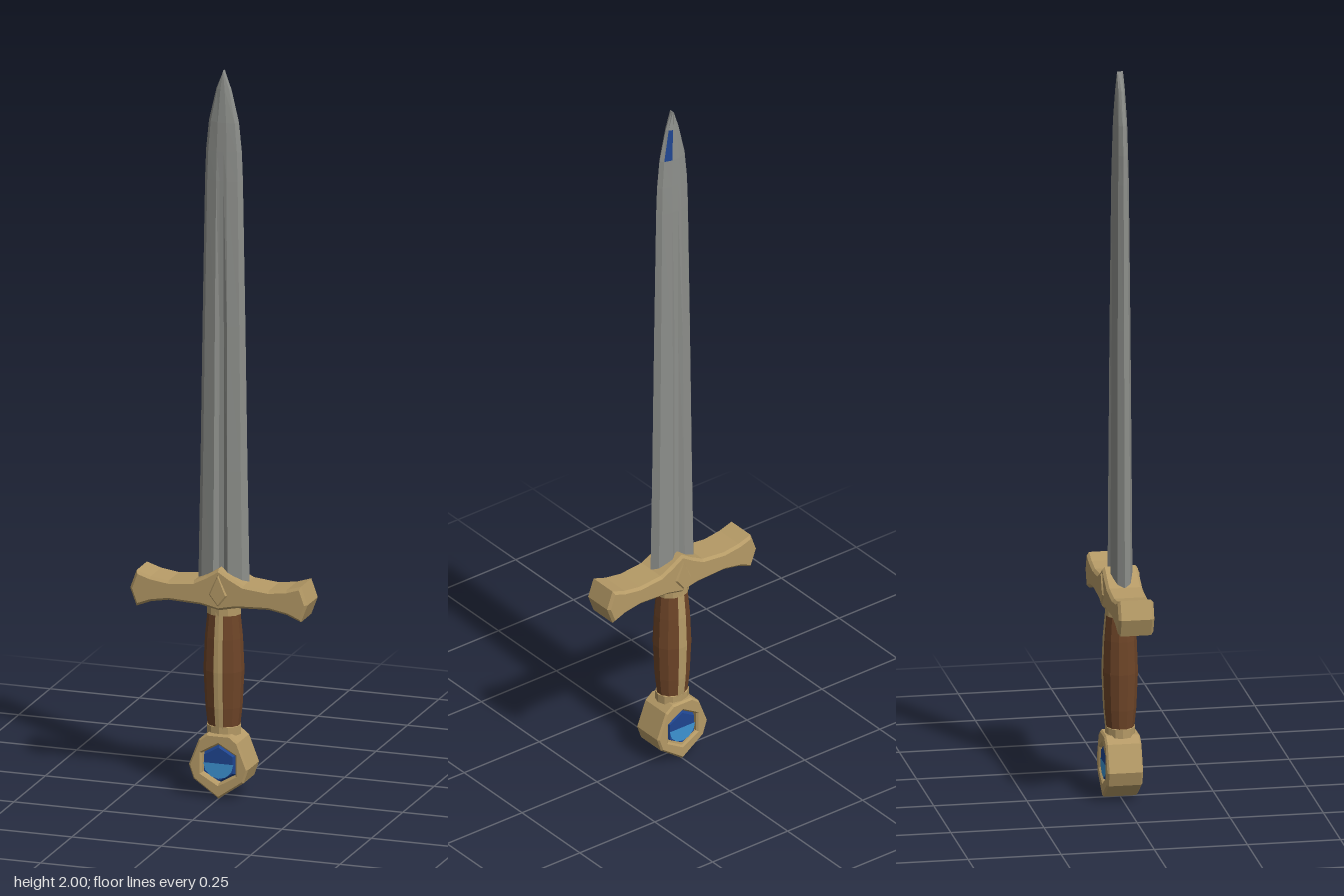
import * as THREE from 'three';

const mat = (name, color, extra = {}) => {
  const m = new THREE.MeshStandardMaterial({ color, flatShading: true, ...extra });
  m.name = name;
  return m;
};

// Closed outline from right-half points (bottom to top), mirrored across x = 0.
function mirrored(half) {
  const left = half.filter(p => p[0] > 0).reverse().map(([x, y]) => [-x, y]);
  return new THREE.Shape([...half, ...left].map(([x, y]) => new THREE.Vector2(x, y)));
}

// Bevelled slab centred on z = 0 with its outline kept at full size.
function slab(shape, halfDepth, bevel) {
  const geo = new THREE.ExtrudeGeometry(shape, {
    depth: 2 * (halfDepth - bevel), bevelThickness: bevel, bevelSize: bevel,
    bevelOffset: -bevel, bevelSegments: 1, curveSegments: 6,
  });
  return geo.translate(0, 0, bevel - halfDepth);
}

// Blade: fullered cross-section lofted through rings of [y, half width, half thickness, fuller depth].
function bladeGeometry() {
  const rings = [
    [0.57, 0.072, 0.030, 0.70], [0.9, 0.066, 0.028, 0.72], [1.3, 0.060, 0.025, 0.76],
    [1.7, 0.053, 0.021, 0.95], [1.78, 0.050, 0.019, 1], [1.86, 0.042, 0.017, 1],
    [1.95, 0.021, 0.012, 1], [2.0, 0.001, 0.008, 1],
  ];
  const loops = rings.map(([y, w, t, g]) => {
    const front = [[1, 0], [0.8, 0.6], [0.28, 1], [0.1, g], [-0.1, g], [-0.28, 1], [-0.8, 0.6]];
    const section = [...front, ...front.map(([x, z]) => [-x, -z])];
    return section.map(([x, z]) => [x * w, y, z * t]);
  });
  const steel = [], inlay = [];
  const n = loops[0].length;
  for (let i = 0; i < loops.length - 1; i++) {
    for (let j = 0; j < n; j++) {
      const k = (j + 1) % n;
      const [a, b, c, d] = [loops[i][j], loops[i][k], loops[i + 1][k], loops[i + 1][j]];
      // One blue facet on the back near the tip
      (i === 5 && j === 12 ? inlay : steel).push(...a, ...d, ...c, ...a, ...c, ...b);
    }
  }
  const top = loops[loops.length - 1];
  for (let j = 1; j < n - 1; j++) steel.push(...top[0], ...top[j + 1], ...top[j]);
  const geo = new THREE.BufferGeometry();
  geo.setAttribute('position', new THREE.Float32BufferAttribute([...steel, ...inlay], 3));
  geo.addGroup(0, steel.length / 3, 0);
  geo.addGroup(steel.length / 3, inlay.length / 3, 1);
  geo.computeVertexNormals();
  return geo;
}

export function createModel() {
  const steel = mat('steel', 0x8d8f8b);
  const gold = mat('gold', 0xb59a66);
  const leather = mat('brownLeather', 0x6e4528);
  const deepBlue = mat('deepBlue', 0x1f4590);
  const skyBlue = mat('skyBlue', 0x3c92d2);

  const model = new THREE.Group();
  model.name = 'sword';
  const add = (name, geo, material, parent = model) => {
    const mesh = new THREE.Mesh(geo, material);
    mesh.name = name;
    parent.add(mesh);
    return mesh;
  };

  add('blade', bladeGeometry(), [steel, deepBlue]);

  // Crossguard with flared ends and a central peak
  add('crossguard', slab(mirrored([
    [0, 0.522], [0.05, 0.533], [0.14, 0.537], [0.19, 0.528], [0.23, 0.512], [0.248, 0.56],
    [0.23, 0.61], [0.19, 0.597], [0.14, 0.59], [0.07, 0.597], [0.035, 0.615], [0, 0.637],
  ]), 0.048, 0.007), gold);
  add('guardCrest', slab(mirrored([
    [0, 0.53], [0.028, 0.565], [0, 0.625],
  ]), 0.052, 0.006), gold);

  // Grip with a swelling profile
  const profile = [[0.042, 0.18], [0.05, 0.25], [0.055, 0.35], [0.051, 0.44], [0.042, 0.53]];
  const lathe = (pts, grow, ...arc) =>
    new THREE.LatheGeometry(pts.map(([r, y]) => new THREE.Vector2(r + grow, y)), ...arc)
      .scale(1, 1, 0.86);
  add('grip', lathe(profile, 0, 12, Math.PI / 12), leather);
  for (const [side, start] of [['front', 0], ['back', Math.PI]]) {
    add(side + 'GripStrip', lathe(profile, 0.002, 2, start - 0.23, 0.46), gold);
  }

  // Collars at both ends of the grip
  const collar = y => [[0.03, y - 0.016], [0.047, y - 0.012], [0.047, y + 0.012], [0.03, y + 0.016]];
  add('lowerCollar', lathe(collar(0.186), 0, 12), gold);
  add('upperCollar', lathe(collar(0.517), 0, 12), gold);

  // Pommel ring with a six-sided window
  const ring = mirrored([
    [0, 0.003], [0.07, 0.052], [0.083, 0.09], [0.055, 0.162], [0.032, 0.18],
  ]);
  const hex = Array.from({ length: 6 }, (_, i) => {
    const a = Math.PI / 6 + i * Math.PI / 3;
    return new THREE.Vector2(0.054 * Math.cos(a), 0.098 + 0.054 * Math.sin(a));
  });
  ring.holes.push(new THREE.Path(hex));
  add('pommel', slab(ring, 0.048, 0.005), gold);

  // Faceted gem on each side of the pommel
  for (const [side, turn] of [['front', 0], ['back', Math.PI]]) {
    const gem = new THREE.Group();
    gem.name = side + 'Gem';
    gem.position.y = 0.098;
    gem.rotation.y = turn;
    const stone = new THREE.CylinderGeometry(0.046, 0.062, 0.042, 6).rotateX(Math.PI / 2);
    add('gemStone', stone.translate(0, 0, 0.023), deepBlue, gem);
    const glint = new THREE.CircleGeometry(0.042, 6, Math.PI, Math.PI);
    add('gemGlint', glint.translate(0, 0.002, 0.0455), skyBlue, gem);
    model.add(gem);
  }
  return model;
}
